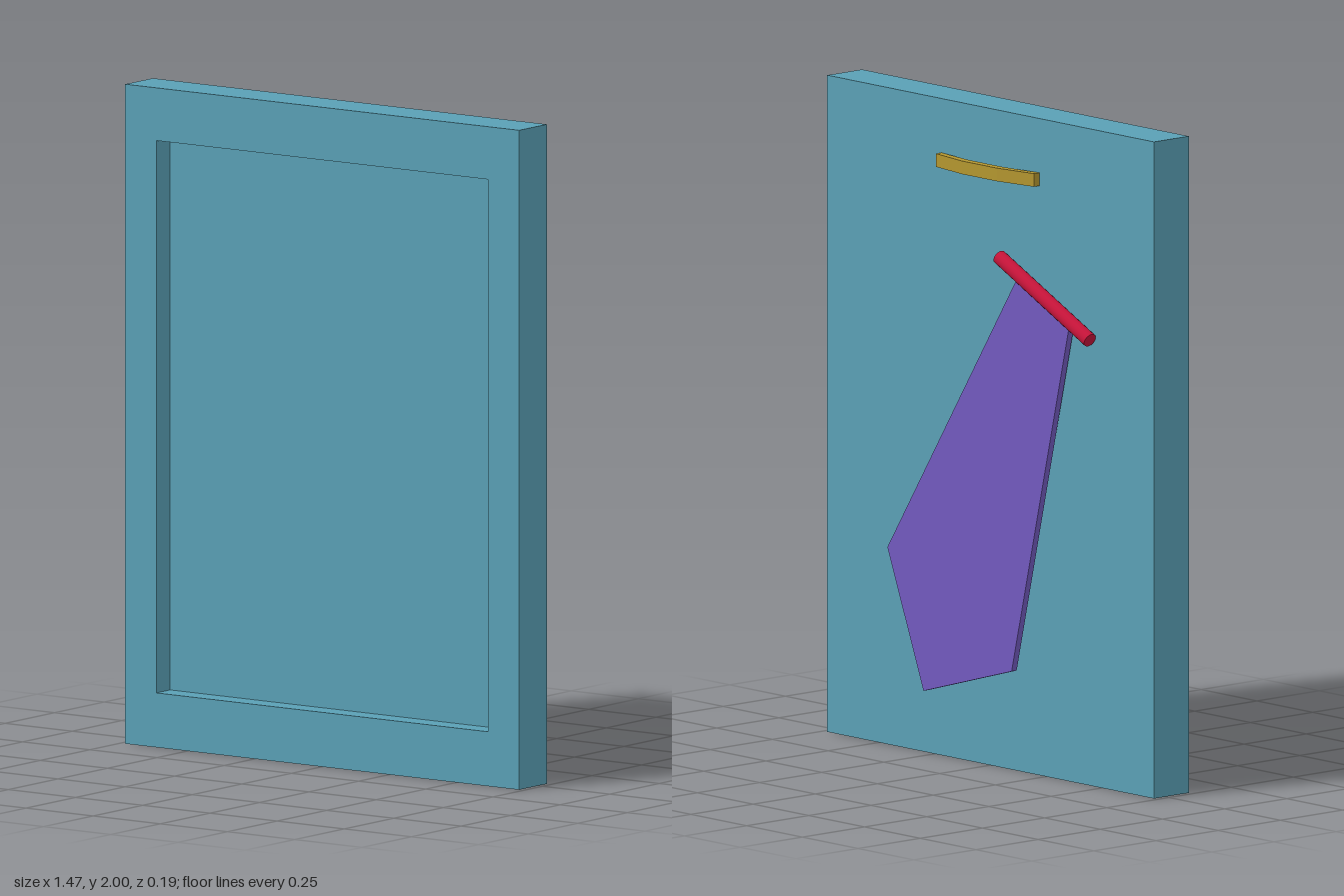
import * as THREE from 'three';

const teal = new THREE.MeshStandardMaterial({ color: 0x5aa0b5 });
const gold = new THREE.MeshStandardMaterial({ color: 0xb3962f });
const red = new THREE.MeshStandardMaterial({ color: 0xc8143a });
const purple = new THREE.MeshStandardMaterial({ color: 0x7259bd });

const polygon = (points) => new THREE.Shape(points.map(([x, y]) => new THREE.Vector2(x, y)));
const rectangle = (x, y0, y1) => [[-x, y0], [x, y0], [x, y1], [-x, y1]];
const extrude = (shape, depth) => new THREE.ExtrudeGeometry(shape, { depth, bevelEnabled: false });

function part(name, geometry, material) {
  const mesh = new THREE.Mesh(geometry, material);
  mesh.name = name;
  return mesh;
}

export function createModel() {
  const group = new THREE.Group();
  group.name = 'pictureFrame';

  // Rectangular border with an opening, and a backing panel set into it
  const opening = rectangle(0.617, 0.165, 1.84);
  const outline = polygon(rectangle(0.733, 0, 2));
  outline.holes.push(polygon(opening));
  const border = part('frameBorder', extrude(outline, 0.14), teal);
  const panel = part('backPanel', extrude(polygon(opening), 0.07), teal);
  border.position.z = panel.position.z = -0.045;

  // Hanger: a faceted bowed strip on the upper back
  const strip = polygon([
    [0.22, 0.045], [0.22, 0.068], [0.078, 0.09], [-0.078, 0.09],
    [-0.22, 0.068], [-0.22, 0.045], [-0.078, 0.064], [0.078, 0.064],
  ]);
  const hanger = part('hanger', extrude(strip, 0.04).rotateX(-Math.PI / 2), gold);
  hanger.position.y = 1.795;

  // Hinge rod, slanted across the back
  const high = new THREE.Vector3(-0.065, 1.56, -0.068);
  const low = new THREE.Vector3(-0.471, 1.362, -0.068);
  const along = low.clone().sub(high);
  const rod = part('hingeRod', new THREE.CylinderGeometry(0.022, 0.022, along.length(), 20), red);
  rod.position.copy(high).add(low).multiplyScalar(0.5);
  along.normalize();
  rod.quaternion.setFromUnitVectors(new THREE.Vector3(0, 1, 0), along);

  // Easel leg: a five-sided plate that leans away from the panel below the rod
  const plate = extrude(polygon([
    [-0.152, 1.51], [-0.385, 1.4], [-0.143, 0.311], [0.248, 0.198], [0.415, 0.612],
  ]), 0.02);
  const pos = plate.attributes.position;
  for (let i = 0; i < pos.count; i++) {
    const distance = (pos.getX(i) - high.x) * -along.y + (pos.getY(i) - high.y) * along.x;
    pos.setZ(i, pos.getZ(i) - 0.0725 - 0.0147 * distance);
  }
  plate.computeVertexNormals();
  const leg = part('easelLeg', plate, purple);

  group.add(border, panel, hanger, rod, leg);
  return group;
}
